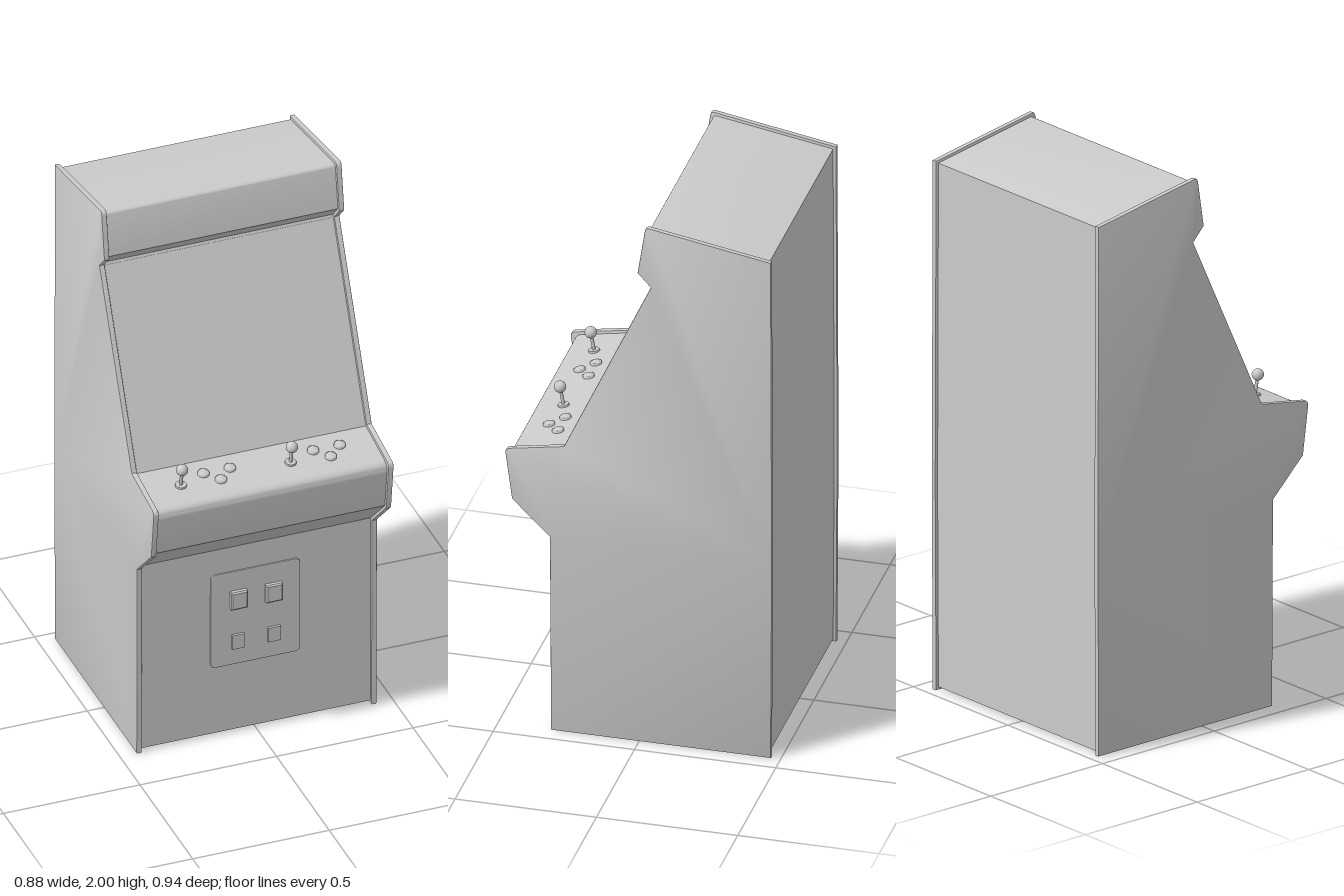
import * as THREE from 'three';
import { toCreasedNormals } from 'three/addons/utils/BufferGeometryUtils.js';

const material = new THREE.MeshStandardMaterial({ color: 0xcccccc });

// Cabinet side outline as [z, y, corner radius], from the front foot up and round to the back foot
const outline = [
  [0.312, 0, 0], [0.316, 0.75, 0], [0.45, 0.88, 0], [0.476, 1.073, 0.02], [0.266, 1.11, 0],
  [-0.041, 1.77, 0], [0.006, 1.82, 0], [-0.022, 2.002, 0.016], [-0.466, 1.926, 0], [-0.47, 0.75, 0], [-0.466, 0, 0],
];

// Moves every edge of the outline inwards by d
function inset(points, d) {
  const n = points.length;
  return points.map(([x, y, r], i) => {
    const p = points[(i + n - 1) % n], q = points[(i + 1) % n];
    const a = new THREE.Vector2(x - p[0], y - p[1]).normalize();
    const b = new THREE.Vector2(q[0] - x, q[1] - y).normalize();
    const k = d / (1 + a.dot(b));
    return [x - (a.y + b.y) * k, y + (a.x + b.x) * k, r];
  });
}

// Closed shape with rounded corners
function roundedShape(points) {
  const shape = new THREE.Shape();
  const n = points.length;
  points.forEach(([x, y, r], i) => {
    const c = new THREE.Vector2(x, y);
    const p = new THREE.Vector2(...points[(i + n - 1) % n].slice(0, 2)).sub(c).setLength(r || 1);
    const q = new THREE.Vector2(...points[(i + 1) % n].slice(0, 2)).sub(c).setLength(r || 1);
    const start = r ? c.clone().add(p) : c;
    if (i === 0) shape.moveTo(start.x, start.y);
    else shape.lineTo(start.x, start.y);
    if (r) shape.quadraticCurveTo(x, y, x + q.x, y + q.y);
  });
  shape.closePath();
  return shape;
}

// Extrudes a side outline across x, centred on x = 0
function extrudeAcross(points, width, bevel) {
  const geometry = new THREE.ExtrudeGeometry(roundedShape(points), {
    depth: width - 2 * bevel, curveSegments: 6, bevelEnabled: bevel > 0,
    bevelSize: bevel, bevelThickness: bevel, bevelOffset: -bevel, bevelSegments: 2,
  });
  geometry.translate(0, 0, bevel - width / 2).rotateY(-Math.PI / 2);
  return toCreasedNormals(geometry, 0.6);
}

function add(parent, name, geometry, x = 0, y = 0, z = 0) {
  const mesh = new THREE.Mesh(geometry, material);
  mesh.name = name;
  mesh.position.set(x, y, z);
  parent.add(mesh);
  return mesh;
}

export function createModel() {
  const model = new THREE.Group();
  model.name = 'arcadeCabinet';

  // Side panels stand slightly proud of the body
  for (const side of [-1, 1]) {
    add(model, side > 0 ? 'leftSidePanel' : 'rightSidePanel', extrudeAcross(outline, 0.02, 0.004), side * 0.43);
  }

  // Body: front, control deck, marquee, top and back
  const core = inset(outline, 0.011);
  core[3][2] = 0.035;
  add(model, 'body', extrudeAcross(core, 0.845, 0));

  // Screen glass on the sloping face
  const [z0, y0] = core[4], [z1, y1] = core[5];
  const length = Math.hypot(z1 - z0, y1 - y0);
  const screen = add(model, 'screen', new THREE.BoxGeometry(0.836, length - 0.02, 0.004), 0, (y0 + y1) / 2, (z0 + z1) / 2);
  screen.rotation.x = Math.atan2(z1 - z0, y1 - y0);

  // Control sets: a frame lying on the sloping deck, origin at its back edge
  const deck = new THREE.Group();
  deck.name = 'controls';
  deck.position.set(0, y0, z0);
  deck.rotation.x = Math.atan2(y0 - core[3][1], core[3][0] - z0);
  model.add(deck);

  const buttonProfile = [[0, 0.011], [0.012, 0.01], [0.014, 0.007], [0.016, 0.009], [0.02, 0.007], [0.021, -0.004]];
  const buttonGeometry = new THREE.LatheGeometry(buttonProfile.map(p => new THREE.Vector2(...p)).reverse(), 24);
  for (const x of [0, 0.402]) {
    const stick = new THREE.Group();
    stick.name = 'joystick';
    stick.position.set(x - 0.295, 0, 0.358 - z0);
    deck.add(stick);
    add(stick, 'joystickBase', new THREE.CylinderGeometry(0.019, 0.021, 0.008, 24), 0, 0.002, 0);
    add(stick, 'joystickShaft', new THREE.CylinderGeometry(0.006, 0.006, 0.07, 12), 0, 0.035, 0);
    add(stick, 'joystickBall', new THREE.SphereGeometry(0.021, 24, 16), 0, 0.071, 0);
    for (const [bx, bz] of [[-0.2, 0.325], [-0.153, 0.371], [-0.103, 0.325]]) {
      add(deck, 'button', buttonGeometry, x + bx, 0, bz - z0);
    }
  }

  // Coin door plate with rounded corners
  const door = new THREE.Group();
  door.name = 'coinDoor';
  door.position.set(-0.003, 0.467, 0.303);
  model.add(door);
  const w = 0.164, h = 0.188;
  const plate = roundedShape([[-w, -h, 0.022], [w, -h, 0.022], [w, h, 0.022], [-w, h, 0.022]]);
  add(door, 'doorPlate', new THREE.ExtrudeGeometry(plate, {
    depth: 0.004, bevelSize: 0.003, bevelThickness: 0.003, bevelOffset: -0.003, bevelSegments: 2, curveSegments: 6,
  }));

  // Coin slots above, return flaps below
  const slotGeometry = new THREE.ExtrudeGeometry(
    roundedShape([[-0.03, -0.035, 0], [0.03, -0.035, 0], [0.03, 0.035, 0], [-0.03, 0.035, 0]]),
    { depth: 0.016, bevelSize: 0.005, bevelThickness: 0.005, bevelOffset: -0.005, bevelSegments: 1 });
  for (const side of [-1, 1]) {
    add(door, 'coinSlot', slotGeometry, side * 0.064, 0.076, 0.003);
    add(door, 'coinReturn', new THREE.BoxGeometry(0.045, 0.056, 0.014), side * 0.066, -0.094, 0.009);
  }
  return model;
}
